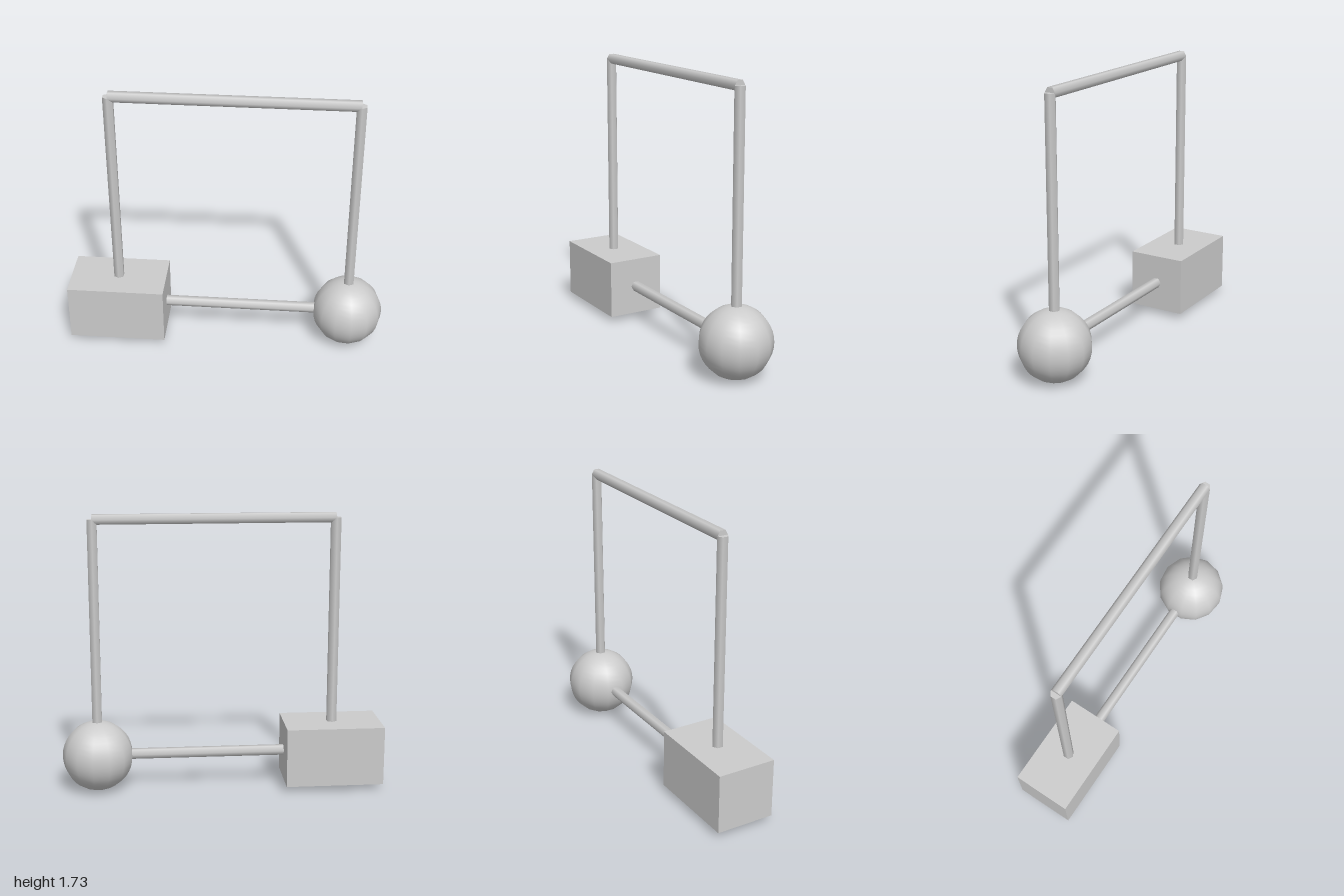
import * as THREE from 'three';

export function createModel() {
  const group = new THREE.Group();
  const material = new THREE.MeshStandardMaterial({ color: 0xcccccc });

  function add(name, geometry, x, y, z = 0) {
    const mesh = new THREE.Mesh(geometry, material);
    mesh.name = name;
    mesh.position.set(x, y, z);
    group.add(mesh);
    return mesh;
  }

  // Corners of the square loop run through the centres of block and ball
  const left = 0.78, right = -0.695, low = 0.223, high = 1.697;

  // Slim six-sided rod between two corners
  function addRod(name, x1, y1, x2, y2) {
    const length = Math.hypot(x2 - x1, y2 - y1);
    const rod = add(name, new THREE.CylinderGeometry(0.034, 0.034, length, 6), (x1 + x2) / 2, (y1 + y2) / 2);
    rod.rotation.z = Math.atan2(y2 - y1, x2 - x1) - Math.PI / 2;
  }

  // Block and ball
  add('block', new THREE.BoxGeometry(0.61, 0.37, 0.37), right, 0.223);
  const ball = add('ball', new THREE.SphereGeometry(0.22, 13, 20), left, 0.22);
  ball.rotation.y = Math.PI;

  // Connecting rods
  addRod('lowerRod', right, low, left, low);
  addRod('upperRod', right, high, left, high);
  addRod('rightPost', right, low, right, high);
  addRod('leftPost', left, low, left, high);

  return group;
}
